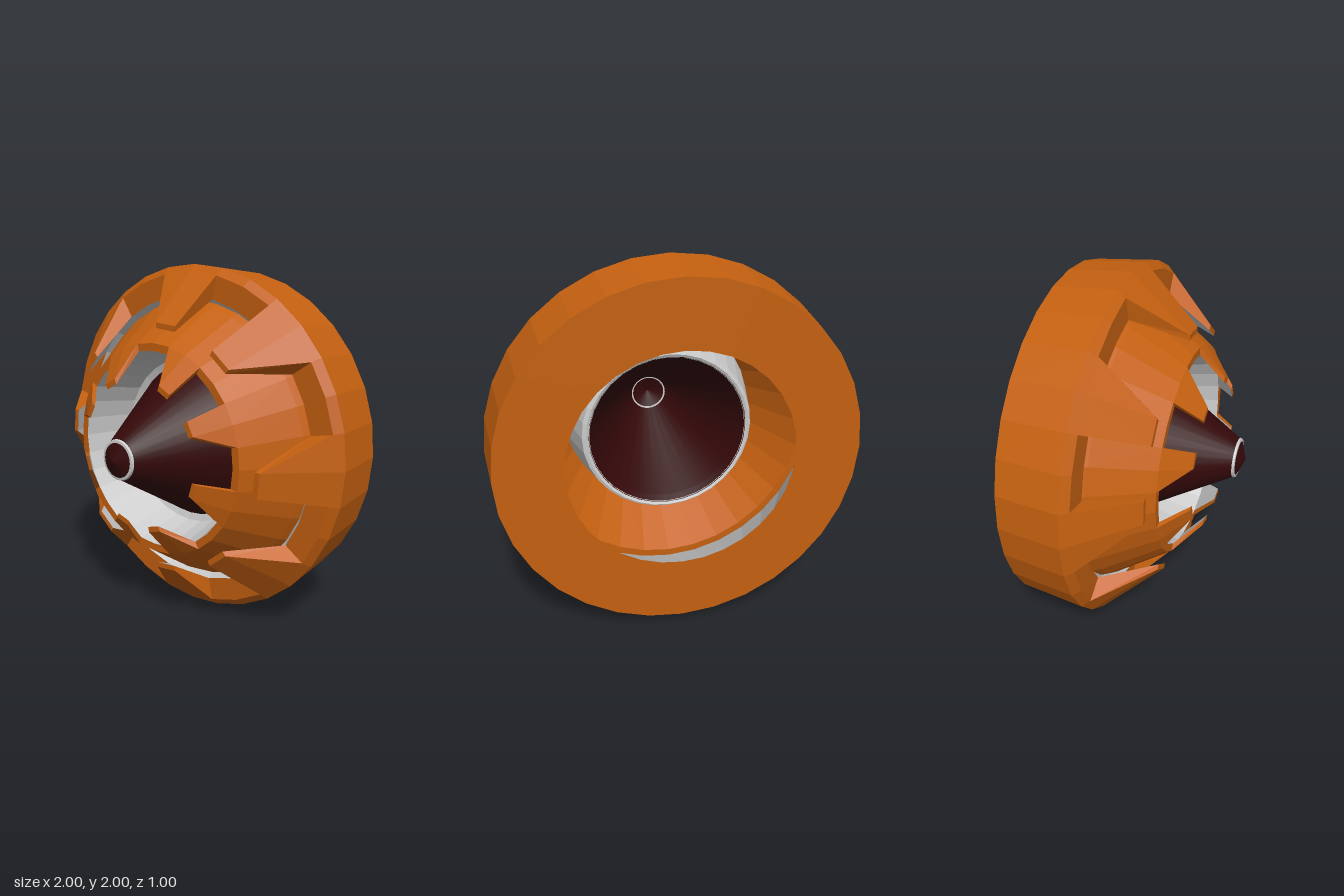
import * as THREE from 'three';

const SEG = 32, STEP = (Math.PI * 2) / SEG;
const side = THREE.DoubleSide;
const orange = new THREE.MeshStandardMaterial({ color: 0xc46010, flatShading: true, side });
const grey = new THREE.MeshStandardMaterial({ color: 0xcccccc, flatShading: true, side });
const maroon = new THREE.MeshStandardMaterial({ color: 0x340809, side });

// Revolve an [radius, z] profile around the z axis
function revolve(name, profile, material) {
  const geo = new THREE.LatheGeometry(profile.map(([r, z]) => new THREE.Vector2(r, z)), SEG);
  geo.rotateX(Math.PI / 2);
  const mesh = new THREE.Mesh(geo, material);
  mesh.name = name;
  return mesh;
}

// Mesh from convex faces, each a loop of points
function polygons(name, faces, material) {
  const pos = [];
  for (const f of faces) {
    for (let i = 1; i < f.length - 1; i++) {
      for (const p of [f[0], f[i], f[i + 1]]) pos.push(...p);
    }
  }
  const geo = new THREE.BufferGeometry();
  geo.setAttribute('position', new THREE.Float32BufferAttribute(pos, 3));
  geo.computeVertexNormals();
  const mesh = new THREE.Mesh(geo, material);
  mesh.name = name;
  return mesh;
}

// Eight tapered teeth; each tip keeps one half of its base, on the side given by its lean
function teeth(name, offset, leans, base, tip) {
  const shell = [], lining = [];
  leans.forEach((lean, k) => {
    const c = (k * Math.PI) / 4 + offset;
    const low = lean > 0 ? c : c - STEP;
    const at = (r, z, a) => [r * Math.cos(a), r * Math.sin(a), z];
    const layer = (rb, rt) => [at(rb, base.z, c - STEP), at(rb, base.z, c), at(rb, base.z, c + STEP),
      at(rt, tip.z, low + STEP), at(rt, tip.z, low)];
    const skin = (p) => (lean > 0
      ? [[p[0], p[1], p[4]], [p[1], p[2], p[3], p[4]]]
      : [[p[0], p[1], p[3], p[4]], [p[1], p[2], p[3]]]);
    const o = layer(base.outer, tip.outer), i = layer(base.inner, tip.inner);
    shell.push(...skin(o));
    shell.push([o[0], o[4], i[4], i[0]], [o[4], o[3], i[3], i[4]], [o[3], o[2], i[2], i[3]]);
    lining.push(...skin(i).map((f) => f.reverse()));
  });
  const group = new THREE.Group();
  group.name = name;
  group.add(polygons(name + 'Shell', shell, orange), polygons(name + 'Lining', lining, grey));
  return group;
}

export function createModel() {
  const model = new THREE.Group();
  model.name = 'nozzle';
  const body = new THREE.Group();
  body.name = 'nozzleBody';
  body.position.y = 1;
  model.add(body);

  // Outer ring with its lining and teeth
  body.add(
    revolve('outerRing', [[0.607, -0.5], [0.965, -0.5], [1, -0.15], [0.96, -0.11], [0.83, -0.11]], orange),
    revolve('outerRingLining', [[0.83, -0.11], [0.607, -0.5]], grey),
    teeth('outerTeeth', 0, [-1, 1, -1, 1, -1, 1, 1, -1],
      { z: -0.11, outer: 0.96, inner: 0.83 }, { z: 0.16, outer: 0.7, inner: 0.67 })
  );

  // Thin conical inner ring with its teeth
  body.add(
    revolve('innerRing', [[0.55, 0.185], [0.765, -0.15], [0.805, -0.15], [0.785, -0.11],
      [0.592, 0.185], [0.55, 0.185]], orange),
    teeth('innerTeeth', STEP * 2, [1, -1, 1, -1, -1, 1, -1, 1],
      { z: 0.185, outer: 0.592, inner: 0.55 }, { z: 0.315, outer: 0.43, inner: 0.4 })
  );

  // Bowl with a flat floor that holds the centre cone
  body.add(revolve('bowl', [[0.55, 0.185], [0.48, -0.11], [0.44, -0.125], [0.46, -0.135]], grey));

  // Hollow centre cone with a short foot, thin collar and pointed cap
  body.add(
    revolve('coneFoot', [[0.445, -0.13], [0.42, -0.09]], maroon),
    revolve('centreCone', [[0.42, -0.09], [0.105, 0.455]], maroon),
    revolve('coneCollar', [[0.112, 0.448], [0.108, 0.46], [0.094, 0.462]], grey),
    revolve('coneCap', [[0.096, 0.46], [0, 0.5]], maroon)
  );
  return model;
}
